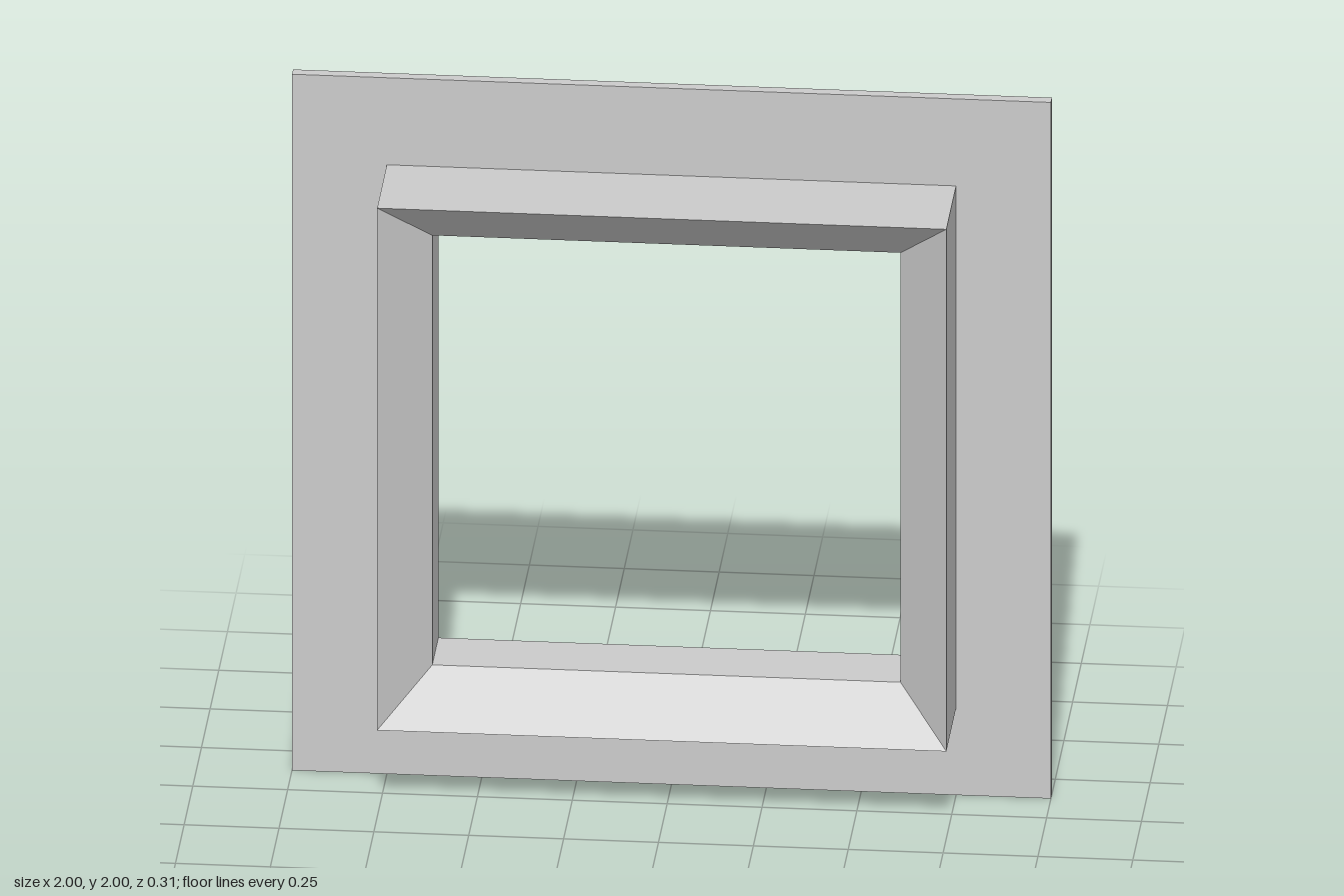
import * as THREE from 'three';

const OUTER = 1, COLLAR = 0.75, OPENING = 0.617;
const BACK = -0.156, FLANGE_FRONT = -0.125, BEVEL = 0.02, FRONT = 0.156;

function square(Type, h) {
  return new Type([[-h, -h], [h, -h], [h, h], [-h, h]].map(([x, y]) => new THREE.Vector2(x, y)));
}

export function createModel() {
  const group = new THREE.Group();
  group.name = 'windowFrame';
  const material = new THREE.MeshStandardMaterial({ color: 0xcccccc, flatShading: true });

  // Thin square plate with the opening cut through it
  const plate = square(THREE.Shape, OUTER);
  plate.holes.push(square(THREE.Path, OPENING));
  const flange = new THREE.Mesh(
    new THREE.ExtrudeGeometry(plate, { depth: FLANGE_FRONT - BACK, bevelEnabled: false }), material);
  flange.name = 'flange';
  flange.position.set(0, 1, BACK);

  // Mitred collar: section swept round four sides, bevelled inward from a sharp front edge
  const section = [
    [COLLAR, FLANGE_FRONT], [COLLAR, FRONT], [OPENING, BEVEL], [OPENING, FLANGE_FRONT],
  ].map(([half, z]) => new THREE.Vector2(half * Math.SQRT2, z));
  const ring = new THREE.LatheGeometry(section, 4, Math.PI / 4).toNonIndexed();
  ring.rotateX(Math.PI / 2);
  ring.computeVertexNormals();
  const collar = new THREE.Mesh(ring, material);
  collar.name = 'bevelledCollar';
  collar.position.y = 1;

  group.add(flange, collar);
  return group;
}
